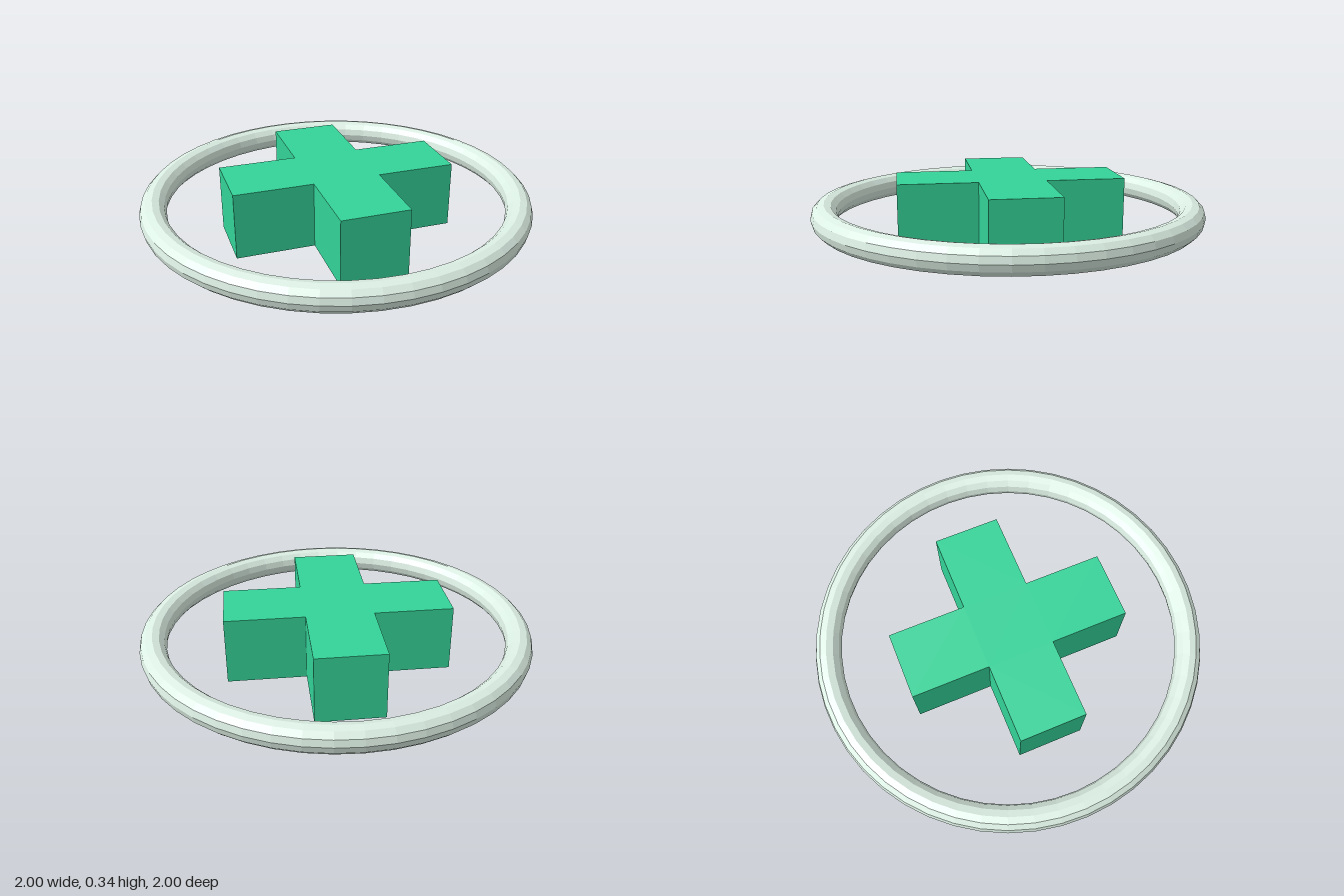
import * as THREE from 'three';

export function createModel() {
  const group = new THREE.Group();
  const arm = 0.571, half = 0.171, height = 0.343;

  // Plus-shaped block: outline built one quarter at a time
  const outline = [];
  for (let i = 0; i < 4; i++) {
    for (const [x, y] of [[arm, -half], [arm, half], [half, half]]) {
      outline.push(new THREE.Vector2(x, y).rotateAround(new THREE.Vector2(), i * Math.PI / 2));
    }
  }
  const crossGeometry = new THREE.ExtrudeGeometry(new THREE.Shape(outline), { depth: height, bevelEnabled: false });
  crossGeometry.rotateX(-Math.PI / 2);
  const cross = new THREE.Mesh(crossGeometry, new THREE.MeshStandardMaterial({ color: 0x34d399 }));
  cross.name = 'cross';
  group.add(cross);

  // Faceted ring floating level around the middle of the block
  const tube = 0.067;
  const ringGeometry = new THREE.TorusGeometry(1 - tube, tube, 12, 48);
  ringGeometry.rotateX(-Math.PI / 2);
  const ring = new THREE.Mesh(ringGeometry, new THREE.MeshStandardMaterial({ color: 0xdcefe4, flatShading: true }));
  ring.name = 'ring';
  ring.position.y = height / 2;
  group.add(ring);

  return group;
}
